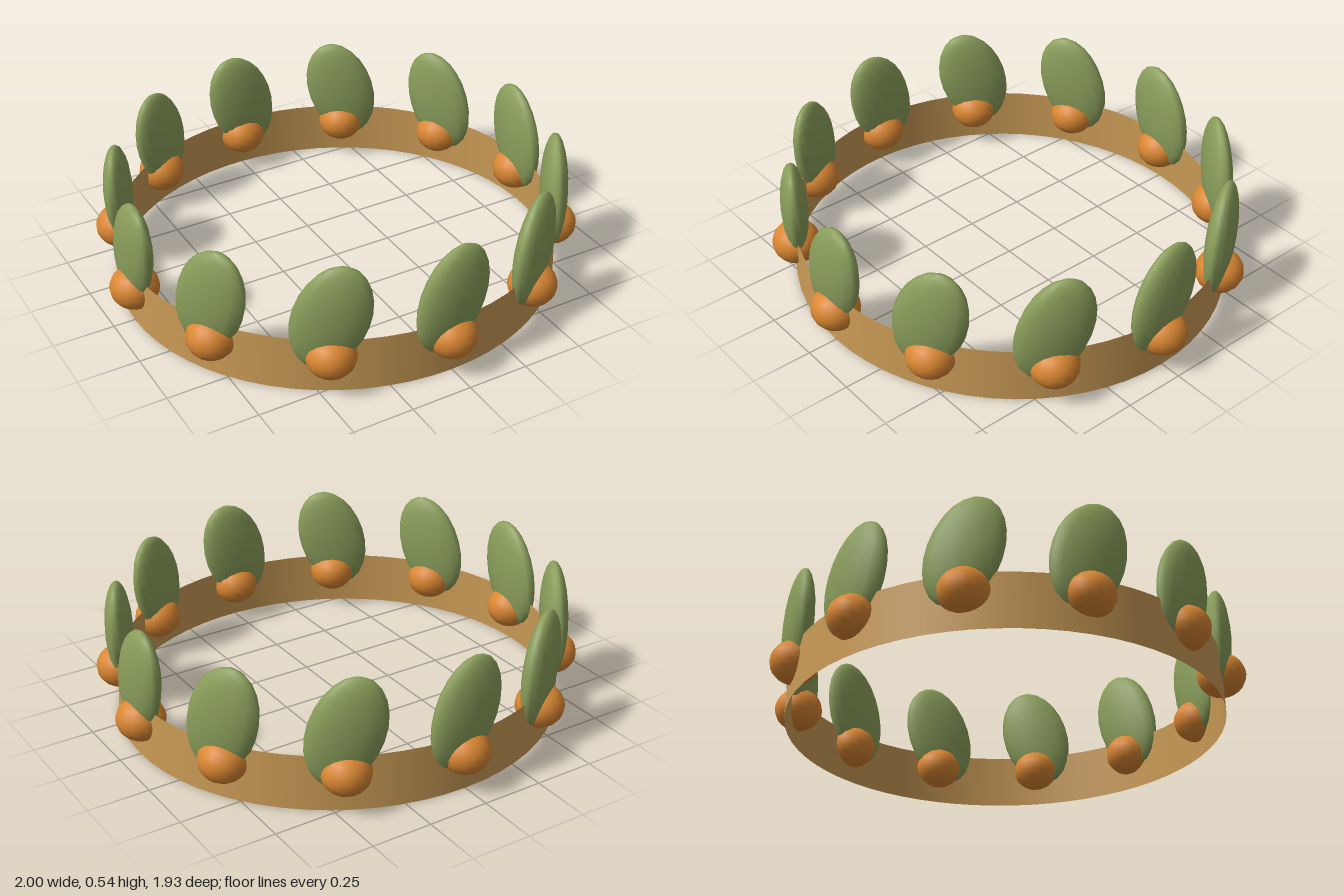
import * as THREE from 'three';

const COUNT = 12;
const RX = 0.9;    // half width of the ring of ornaments
const RZ = 0.865;  // half depth of the ring of ornaments

export function createModel() {
  const crown = new THREE.Group();
  crown.name = 'leafCrown';

  const bandMaterial = new THREE.MeshStandardMaterial({ color: 0xc99a55, side: THREE.DoubleSide });
  bandMaterial.name = 'tan band';
  const leafMaterial = new THREE.MeshStandardMaterial({ color: 0x8a9e5b });
  leafMaterial.name = 'olive green';
  const berryMaterial = new THREE.MeshStandardMaterial({ color: 0xd98632 });
  berryMaterial.name = 'orange';

  // Thin open band, slightly oval and a touch narrower at the top
  const height = 0.226;
  const bandGeometry = new THREE.CylinderGeometry(0.905, 0.911, height, 64, 1, true);
  bandGeometry.scale(1, 1, 0.961);
  const band = new THREE.Mesh(bandGeometry, bandMaterial);
  band.name = 'band';
  band.position.y = height / 2;
  crown.add(band);

  // Flattened leaf, leaning along the band
  const leafGeometry = new THREE.SphereGeometry(1, 16, 12);
  leafGeometry.scale(0.145, 0.231, 0.055);
  leafGeometry.rotateZ(-0.3);

  // Slightly squashed berry
  const berryGeometry = new THREE.SphereGeometry(0.098, 16, 12);
  berryGeometry.scale(1, 0.9, 1);

  // Leaf and berry pairs spaced around the oval
  for (let i = 0; i < COUNT; i++) {
    const angle = (i / COUNT) * Math.PI * 2;
    const ornament = new THREE.Group();
    ornament.name = `ornament${i + 1}`;
    ornament.position.set(RX * Math.sin(angle), 0, RZ * Math.cos(angle));
    ornament.rotation.y = angle;

    const leaf = new THREE.Mesh(leafGeometry, leafMaterial);
    leaf.name = 'leaf';
    leaf.position.set(0, 0.32, -0.005);

    const berry = new THREE.Mesh(berryGeometry, berryMaterial);
    berry.name = 'berry';
    berry.position.set(0, 0.157, 0);

    ornament.add(leaf, berry);
    crown.add(ornament);
  }
  return crown;
}
